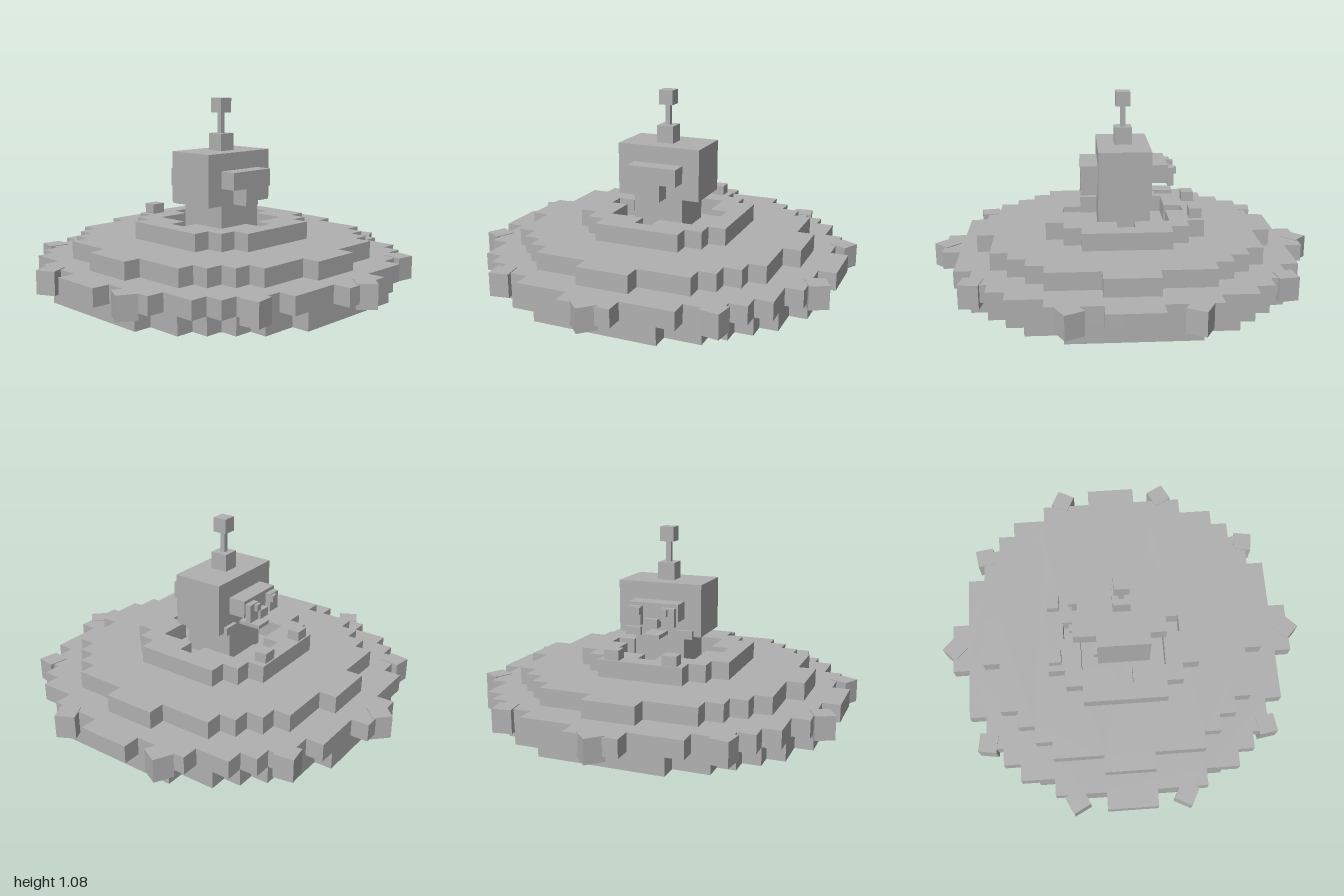
import * as THREE from 'three';

const V = 0.0897; // block size
const grey = new THREE.MeshStandardMaterial({ color: 0xb0b0b0 });
grey.name = 'grey';

// Stepped outline of a disc made of square blocks
function outline(r2, Type) {
  const n = Math.floor(Math.sqrt(r2));
  const side = [];
  for (let k = -n; k <= n; k++) {
    const w = (Math.floor(Math.sqrt(r2 - k * k)) + 0.5) * V;
    side.push([w, (k - 0.5) * V], [w, (k + 0.5) * V]);
  }
  const loop = [...side, ...side.slice().reverse().map(([x, y]) => [-x, y])];
  const clean = loop.filter(([x, y], i) => {
    const [px, py] = loop[(i + loop.length - 1) % loop.length];
    return Math.abs(px - x) + Math.abs(py - y) > 1e-6;
  });
  return new Type(clean.map(([x, y]) => new THREE.Vector2(x, y)));
}

export function createModel() {
  const model = new THREE.Group();

  function add(name, geometry) {
    const mesh = new THREE.Mesh(geometry, grey);
    mesh.name = name;
    model.add(mesh);
    return mesh;
  }

  function disc(name, r2, level, holeR2) {
    const shape = outline(r2, THREE.Shape);
    if (holeR2) shape.holes.push(outline(holeR2, THREE.Path));
    const g = new THREE.ExtrudeGeometry(shape, { depth: V, bevelEnabled: false });
    g.rotateX(-Math.PI / 2);
    add(name, g).position.y = level * V;
  }

  // Box given by its x, y and z ranges
  function box(name, x0, x1, y0, y1, z0, z1) {
    add(name, new THREE.BoxGeometry(x1 - x0, y1 - y0, z1 - z0))
      .position.set((x0 + x1) / 2, (y0 + y1) / 2, (z0 + z1) / 2);
  }

  // Saucer hull, from the base plate to the cockpit rim
  disc('basePlate', 32, 0);
  disc('lowerHull', 90, 1);
  disc('wideHull', 101, 2);
  disc('upperHull', 65, 3);
  disc('cockpitRim', 20, 4, 9);

  // Ten turned lamps around the edge
  for (let i = 0; i < 10; i++) {
    const a = Math.PI / 2 + (i * Math.PI) / 5;
    const lamp = add('edgeLamp', new THREE.BoxGeometry(0.1, 0.12, 0.1));
    lamp.position.set(0.93 * Math.cos(a), 0.213, 0.93 * Math.sin(a));
    lamp.rotation.y = Math.PI / 4 - a;
  }

  // Pilot: body, head and overhanging front and back
  const a = 0.5 * V, b = 1.5 * V, c = 2.5 * V;
  box('body', -b, b, 4 * V, 6 * V, -b, b);
  box('head', -c, c, 6 * V, 9 * V, -b, b);
  box('frontBrow', -b, b, 7 * V, 8 * V, b, c);
  box('frontNose', -a, a, 6 * V, 7 * V, b, c);
  box('backBrow', -b, b, 7 * V, 8 * V, -c, -b);

  // Small features on the back
  box('backNose', -0.035, 0.035, 0.595, 0.64, -0.255, -b);
  box('mouth', -0.045, 0.045, 0.54, 0.56, -0.255, -b);
  for (const s of [-1, 1]) {
    const mirrored = (name, x0, x1, ...r) =>
      box(name, Math.min(s * x0, s * x1), Math.max(s * x0, s * x1), ...r);
    mirrored('eye', 0.055, 0.125, 0.605, 0.7, -0.255, -c);
    mirrored('pupil', 0.055, 0.09, 0.66, 0.695, -0.272, -0.255);
    mirrored('cheek', 0.1, 0.185, 0.527, 0.57, -0.155, -0.12);
    mirrored('controlBlock', 0.115, 0.192, 5 * V, 0.5, -0.395, -0.33);
  }

  // Antenna
  box('antennaBase', -a, a, 9 * V, 10 * V, -a, a);
  box('antennaRod', -0.013, 0.013, 10 * V, 1.01, -0.013, 0.013);
  box('antennaTip', -0.037, 0.037, 1.005, 1.08, -0.037, 0.037);

  return model;
}
